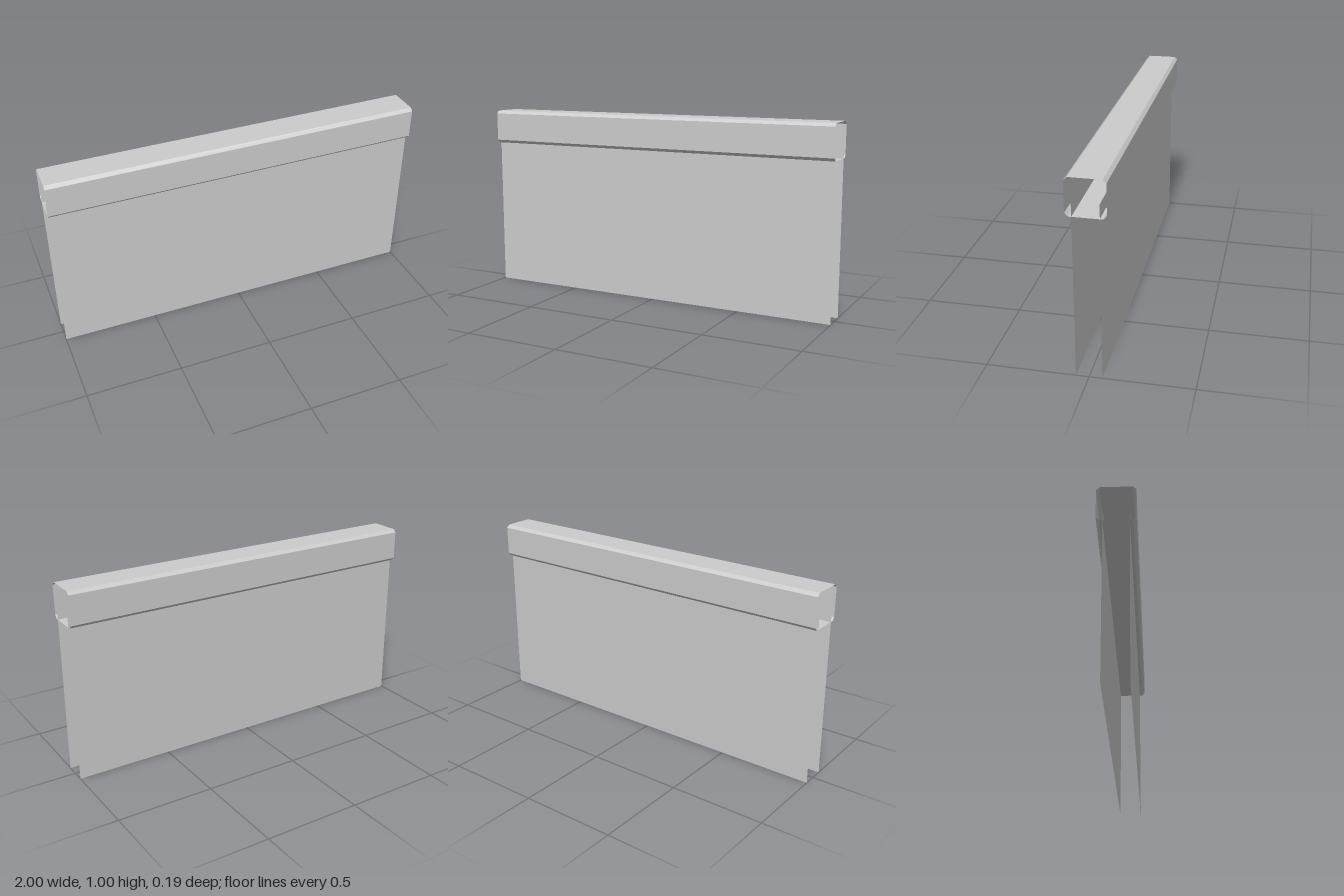
import * as THREE from 'three';

const HALF_LENGTH = 1;
const material = new THREE.MeshStandardMaterial({
  color: 0xcccccc, flatShading: true, side: THREE.DoubleSide,
});

// Sweep a list of [z, y] points along x as flat strips, with open ends
function sweep(name, profile, closed) {
  const positions = [];
  const count = closed ? profile.length : profile.length - 1;
  for (let i = 0; i < count; i++) {
    const [z0, y0] = profile[i];
    const [z1, y1] = profile[(i + 1) % profile.length];
    const a = [-HALF_LENGTH, y0, z0], b = [HALF_LENGTH, y0, z0];
    const c = [HALF_LENGTH, y1, z1], d = [-HALF_LENGTH, y1, z1];
    positions.push(...a, ...b, ...c, ...a, ...c, ...d);
  }
  const geometry = new THREE.BufferGeometry();
  geometry.setAttribute('position', new THREE.Float32BufferAttribute(positions, 3));
  geometry.computeVertexNormals();
  const mesh = new THREE.Mesh(geometry, material);
  mesh.name = name;
  return mesh;
}

export function createModel() {
  const group = new THREE.Group();
  group.name = 'hangingPanels';

  // Hollow top rail with bevelled corners and open ends
  const z = 0.094, top = 1, bottom = 0.816, bevel = 0.016;
  group.add(sweep('topRail', [
    [z - bevel, bottom], [z, bottom + bevel],
    [z, top - bevel], [z - bevel, top],
    [-z + bevel, top], [-z, top - bevel],
    [-z, bottom + bevel], [-z + bevel, bottom],
  ], true));

  // Two thin sheets hanging from inside the rail
  for (const [name, side] of [['frontPanel', 1], ['backPanel', -1]]) {
    const sheet = [[0.063 * side, 0], [0.063 * side, 0.885]];
    group.add(sweep(name, side > 0 ? sheet : sheet.reverse(), false));
  }
  return group;
}
